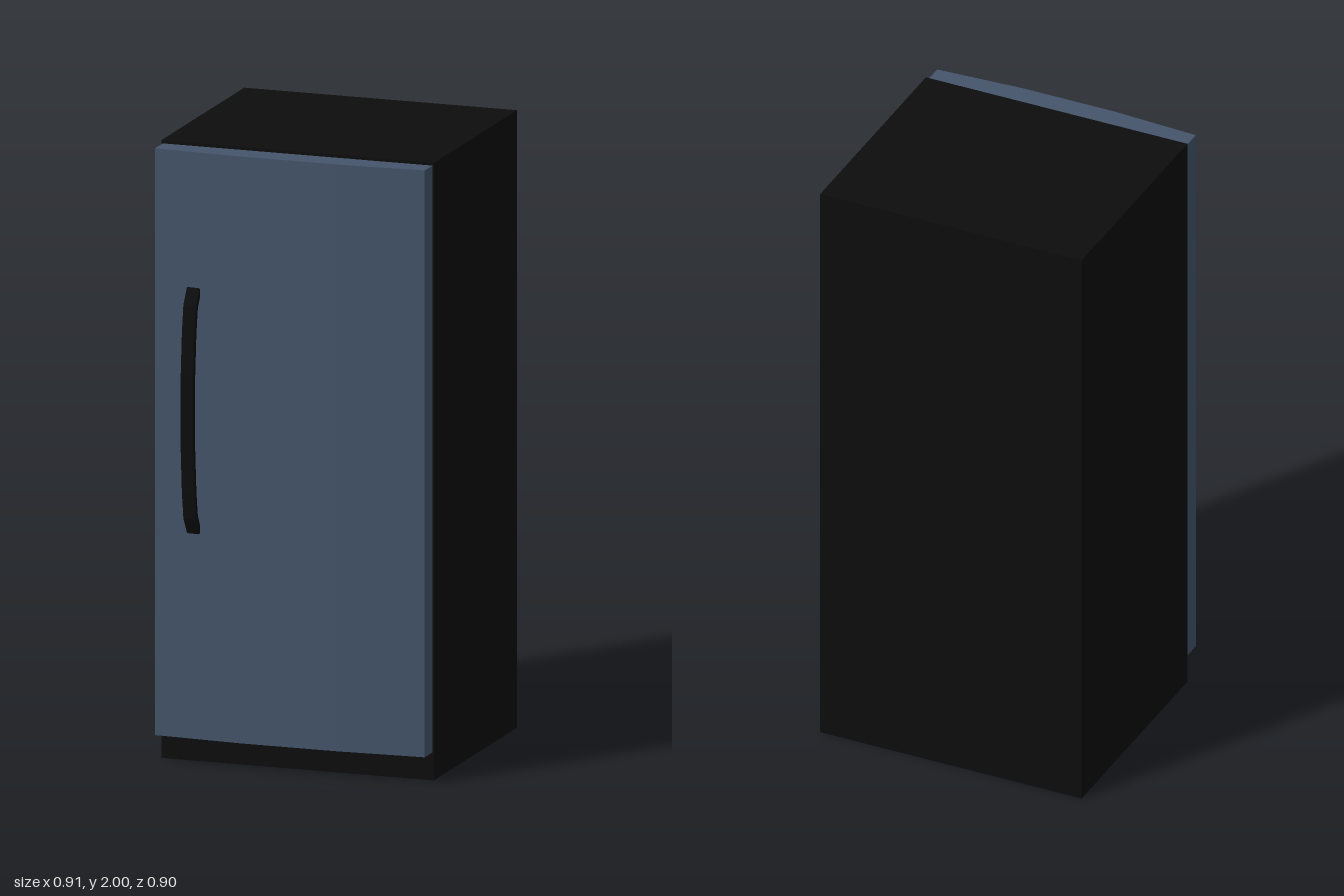
import * as THREE from 'three';

const black = new THREE.MeshStandardMaterial({ color: 0x0d0d0d });
const blue = new THREE.MeshStandardMaterial({ color: 0x44546a });

function addPart(group, name, geometry, material) {
  const mesh = new THREE.Mesh(geometry, material);
  mesh.name = name;
  group.add(mesh);
  return mesh;
}

export function createModel() {
  const group = new THREE.Group();
  group.name = 'refrigerator';

  // Cabinet: plain box reaching the floor
  const cabinet = addPart(group, 'cabinet', new THREE.BoxGeometry(0.914, 2, 0.77), black);
  cabinet.position.set(0, 1, -0.065);

  // Door: faceted bowed slab, its plan drawn in x and -z, extruded upwards
  const plan = new THREE.Shape([
    [-0.452, -0.32], [-0.452, -0.392], [-0.16, -0.408],
    [0.16, -0.408], [0.452, -0.392], [0.452, -0.32],
  ].map(([x, y]) => new THREE.Vector2(x, y)));
  const doorGeometry = new THREE.ExtrudeGeometry(plan, { depth: 1.9, bevelEnabled: false });
  doorGeometry.rotateX(-Math.PI / 2);
  addPart(group, 'door', doorGeometry, blue).position.y = 0.09;

  // Handle: thin bowed strap, its side profile extruded across the width
  const bow = [[0, -0.393], [0.024, -0.345], [0.035, -0.26], [0.044, -0.12]];
  const outer = [...bow, [0.046, 0], ...bow.map(([z, y]) => [z, -y]).reverse()];
  const inner = outer.map(([z, y]) => [z - 0.009, y * 0.98]).reverse();
  const profile = new THREE.Shape([...outer, ...inner].map(([z, y]) => new THREE.Vector2(z, y)));
  const handleGeometry = new THREE.ExtrudeGeometry(profile, {
    depth: 0.038, bevelThickness: 0.004, bevelSize: 0.004, bevelSegments: 2,
  });
  handleGeometry.translate(0, 0, -0.019).rotateY(-Math.PI / 2);
  const handle = addPart(group, 'handle', handleGeometry, black);
  handle.position.set(-0.321, 1.153, 0.4);
  handle.rotation.y = -0.09;

  return group;
}
